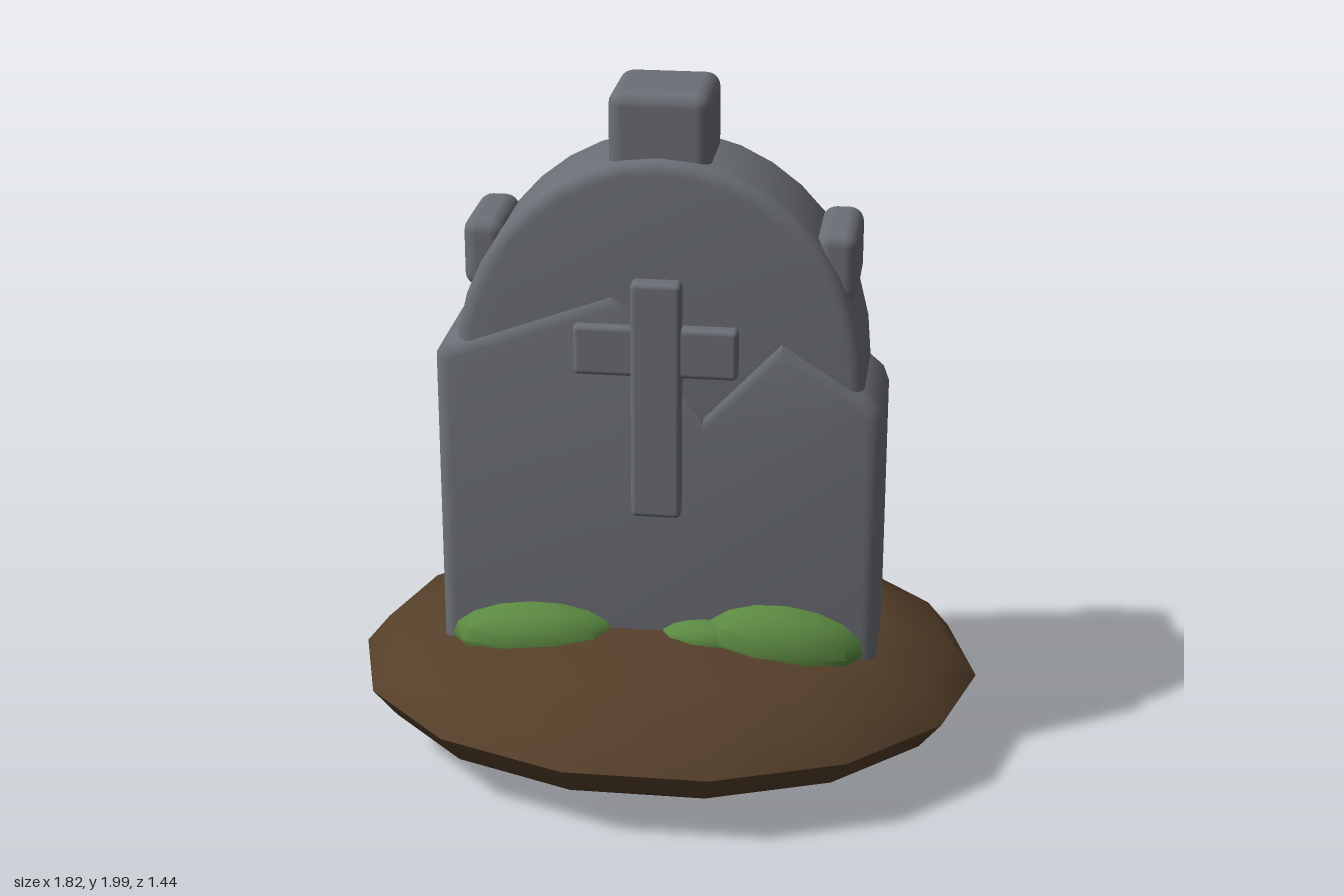
import * as THREE from 'three';
import { toCreasedNormals } from 'three/addons/utils/BufferGeometryUtils.js';
import { RoundedBoxGeometry } from 'three/addons/geometries/RoundedBoxGeometry.js';

function material(name, color) {
  const m = new THREE.MeshStandardMaterial({ color });
  m.name = name;
  return m;
}

export function createModel() {
  const stone = material('stone', 0x6b6e75);
  const soil = material('soil', 0x553f2a);
  const moss = material('moss', 0x5c8a42);
  const model = new THREE.Group();
  model.name = 'gravestone';

  function add(name, geometry, mat, x = 0, y = 0, z = 0) {
    const mesh = new THREE.Mesh(geometry, mat);
    mesh.name = name;
    mesh.position.set(x, y, z);
    model.add(mesh);
    return mesh;
  }

  // Upright slab of a given outline between two depths, with rounded edges
  function slab(name, points, back, front, bevel) {
    const shape = new THREE.Shape(points.map(([x, y]) => new THREE.Vector2(x, y)));
    const geometry = new THREE.ExtrudeGeometry(shape, {
      depth: front - back - 2 * bevel, bevelEnabled: true,
      bevelThickness: bevel, bevelSize: bevel, bevelOffset: -bevel, bevelSegments: 4,
    });
    add(name, toCreasedNormals(geometry, 0.6), stone, 0, 0, back + bevel);
  }

  // Rounded block given by its lower and upper corners
  function block(name, lo, hi, radius) {
    const size = hi.map((v, i) => v - lo[i]);
    const mid = hi.map((v, i) => (v + lo[i]) / 2);
    add(name, new RoundedBoxGeometry(...size, 3, radius), stone, ...mid);
  }

  // Flattened ball with few sides
  function blob(name, mat, centre, radii, sides, rings, tilt = 0) {
    const geometry = new THREE.SphereGeometry(1, sides, rings);
    geometry.scale(...radii);
    geometry.rotateZ(tilt);
    add(name, toCreasedNormals(geometry, 0.75), mat, ...centre);
  }

  // Earth mound
  blob('mound', soil, [0, 0.228, 0], [0.91, 0.222, 0.74], 14, 8);

  // Broken lower slab with a jagged top
  slab('lowerSlab', [
    [-0.625, 0.3], [0.625, 0.3], [0.625, 1.11], [0.61, 1.15], [0.57, 1.185],
    [0.34, 1.335], [0.13, 1.11], [-0.08, 1.42], [-0.125, 1.45],
    [-0.56, 1.29], [-0.605, 1.275], [-0.625, 1.24],
  ], -0.128, 0.24, 0.045);

  // Arched upper stone
  const arch = [[-0.57, 0.9], [0.57, 0.9]];
  for (let i = 0; i <= 18; i++) {
    const a = (i / 18) * Math.PI;
    arch.push([0.57 * Math.cos(a), 1.2 + 0.625 * Math.sin(a)]);
  }
  slab('archedStone', arch, -0.112, 0.228, 0.04);

  // Blocks on the crown and shoulders
  block('crownBlock', [-0.14, 1.72, -0.085], [0.14, 2, 0.2], 0.04);
  for (const s of [-1, 1]) {
    const x = s * 0.485;
    block('shoulderBlock', [x - 0.058, 1.43, -0.085], [x + 0.058, 1.63, 0.2], 0.04);
  }

  // Raised cross
  block('crossUpright', [-0.07, 0.8, 0.2], [0.07, 1.49, 0.275], 0.015);
  block('crossBar', [-0.23, 1.215, 0.2], [0.225, 1.36, 0.265], 0.015);

  // Moss at the foot
  blob('mossLeft', moss, [-0.36, 0.405, 0.24], [0.235, 0.1, 0.093], 10, 8, 0.06);
  blob('mossRight', moss, [0.36, 0.415, 0.24], [0.23, 0.12, 0.093], 10, 8, -0.08);
  blob('mossSmall', moss, [0.14, 0.42, 0.24], [0.13, 0.058, 0.065], 10, 8);

  return model;
}
